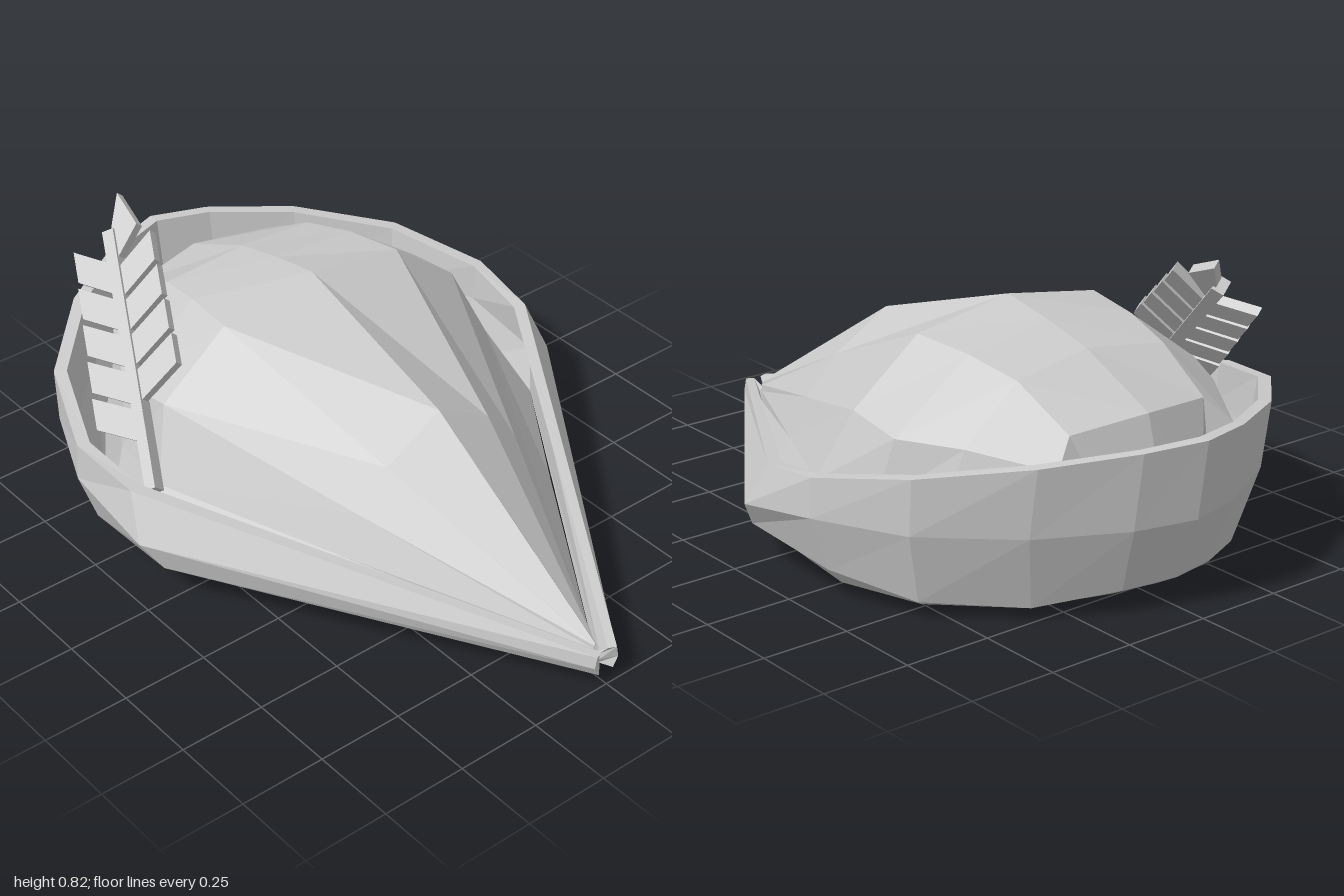
import * as THREE from 'three';

const grey = (side = THREE.FrontSide) =>
  new THREE.MeshStandardMaterial({ color: 0xcccccc, flatShading: true, side });

const mirror = ([x, y, z]) => [-x, y, z];

// Skin a list of equal-length cross-sections with quads
function skin(name, rows, closed, side) {
  const n = rows[0].length, index = [];
  const iMax = closed ? rows.length : rows.length - 1;
  const jMax = closed ? n : n - 1;
  for (let i = 0; i < iMax; i++) {
    for (let j = 0; j < jMax; j++) {
      const i2 = (i + 1) % rows.length, j2 = (j + 1) % n;
      const a = i * n + j, b = i2 * n + j, c = i2 * n + j2, d = i * n + j2;
      index.push(a, b, c, a, c, d);
    }
  }
  const indexed = new THREE.BufferGeometry();
  indexed.setAttribute('position', new THREE.Float32BufferAttribute(rows.flat(2), 3));
  indexed.setIndex(index);
  const geometry = indexed.toNonIndexed();
  geometry.computeVertexNormals();
  const mesh = new THREE.Mesh(geometry, grey(side));
  mesh.name = name;
  return mesh;
}

// Upturned brim: each section runs rim outer, rim inner, inner wall, base inner, base outer, outer wall
function makeBrim() {
  const notch = [[0, 0.09, 0.965], [0, 0.09, 0.955], [0, 0.075, 0.95], [0, 0.055, 0.945], [0, 0.06, 0.965], [0, 0.075, 0.97]];
  const half = [
    [[0.035, 0.115, 0.995], [0.012, 0.115, 0.985], [0.01, 0.08, 0.96], [0.01, 0.05, 0.95], [0.025, 0.05, 0.995], [0.042, 0.08, 0.995]],
    [[0.71, 0.33, -0.11], [0.675, 0.33, -0.12], [0.69, 0.21, -0.06], [0.65, 0.1, -0.01], [0.69, 0.125, 0], [0.74, 0.205, -0.04]],
    [[0.73, 0.365, -0.33], [0.695, 0.365, -0.32], [0.69, 0.255, -0.32], [0.64, 0.055, -0.33], [0.68, 0.1, -0.33], [0.735, 0.255, -0.33]],
    [[0.62, 0.415, -0.6], [0.59, 0.415, -0.58], [0.58, 0.26, -0.56], [0.53, 0.03, -0.52], [0.57, 0.06, -0.56], [0.62, 0.26, -0.59]],
    [[0.4, 0.455, -0.82], [0.38, 0.455, -0.79], [0.38, 0.26, -0.76], [0.31, 0.01, -0.67], [0.35, 0.045, -0.74], [0.4, 0.26, -0.79]],
    [[0.17, 0.48, -0.95], [0.16, 0.48, -0.92], [0.16, 0.265, -0.89], [0.13, 0.045, -0.8], [0.15, 0.08, -0.86], [0.17, 0.265, -0.92]],
  ];
  const back = [[0, 0.49, -1], [0, 0.49, -0.965], [0, 0.27, -0.935], [0, 0.05, -0.83], [0, 0.09, -0.9], [0, 0.27, -0.97]];
  const otherHalf = half.map((section) => section.map(mirror)).reverse();
  return skin('brim', [notch, ...half, back, ...otherHalf], true);
}

// Crown: hollow faceted dome, sections run from the base up to the ridge and are mirrored
function makeCrown() {
  const half = [
    [[0.01, 0.05, 0.95], [0.008, 0.08, 0.95], [0.006, 0.1, 0.95], [0.004, 0.11, 0.95], [0, 0.115, 0.95]],
    [[0.425, 0.084, 0.32], [0.342, 0.19, 0.32], [0.28, 0.297, 0.32], [0.18, 0.405, 0.32], [0, 0.51, 0.32]],
    [[0.65, 0.1, -0.01], [0.59, 0.27, -0.15], [0.515, 0.465, -0.22], [0.305, 0.63, -0.22], [0, 0.68, -0.22]],
    [[0.64, 0.055, -0.33], [0.56, 0.26, -0.37], [0.52, 0.44, -0.4], [0.28, 0.615, -0.4], [0, 0.65, -0.38]],
    [[0.53, 0.03, -0.52], [0.49, 0.24, -0.55], [0.43, 0.44, -0.57], [0.25, 0.58, -0.56], [0, 0.61, -0.54]],
    [[0.31, 0.01, -0.67], [0.34, 0.22, -0.72], [0.3, 0.41, -0.78], [0.23, 0.48, -0.74], [0, 0.5, -0.78]],
    [[0.31, 0.01, -0.67], [0.3, 0.015, -0.68], [0.22, 0.22, -0.79], [0.15, 0.25, -0.83], [0, 0.25, -0.85]],
    [[0.31, 0.01, -0.67], [0.3, 0.015, -0.68], [0.2, 0.032, -0.75], [0.13, 0.045, -0.8], [0, 0.05, -0.83]],
  ];
  const rows = half.map((s) => [...s, ...s.slice(0, -1).reverse().map(mirror)]);
  return skin('crown', rows, false, THREE.DoubleSide);
}

// Flat plate drawn in the feather's plane, centred on its thickness
function plate(name, points, depth) {
  const shape = new THREE.Shape(points.map(([x, y]) => new THREE.Vector2(x, y)));
  const geometry = new THREE.ExtrudeGeometry(shape, { depth, bevelEnabled: false });
  geometry.translate(0, 0, -depth / 2);
  const mesh = new THREE.Mesh(geometry, grey());
  mesh.name = name;
  return mesh;
}

// One row of slanted barbs, above (side 1) or below (side -1) the quill
function makeBarbs(side, count, start, step, slant) {
  const row = new THREE.Group();
  row.name = 'barbRow';
  for (let k = 0; k < count; k++) {
    const t = start + k * step, end = t + step - 0.016;
    const width = 0.14 - k * 0.004;
    const corners = [[t, 0.01], [end, 0.01], [end + slant, width], [t + slant, width]];
    row.add(plate('barb', corners.map(([x, y]) => [x, y * side]), 0.028));
  }
  return row;
}

// Feather: flat quill with barbs on both sides and a pointed end barb
function makeFeather() {
  const feather = new THREE.Group();
  feather.name = 'feather';
  feather.add(
    plate('quill', [[-0.05, -0.016], [0.71, -0.018], [0.71, 0.018], [-0.05, 0.016]], 0.045),
    makeBarbs(1, 4, 0.2, 0.103, 0.07),
    makeBarbs(-1, 5, 0.09, 0.108, 0.075),
    plate('endBarb', [[0.62, 0.01], [0.72, 0.01], [0.81, 0.045], [0.7, 0.09]], 0.028),
  );
  const along = new THREE.Vector3(0.365, 0.576, -0.73).normalize();
  const normal = along.clone().cross(new THREE.Vector3(0.567, 0.483, 0.665)).normalize();
  const across = normal.clone().cross(along);
  feather.quaternion.setFromRotationMatrix(new THREE.Matrix4().makeBasis(along, across, normal));
  feather.position.set(-0.62, 0.33, -0.14);
  return feather;
}

export function createModel() {
  const hat = new THREE.Group();
  hat.name = 'featheredHat';
  hat.add(makeBrim(), makeCrown(), makeFeather());
  return hat;
}
